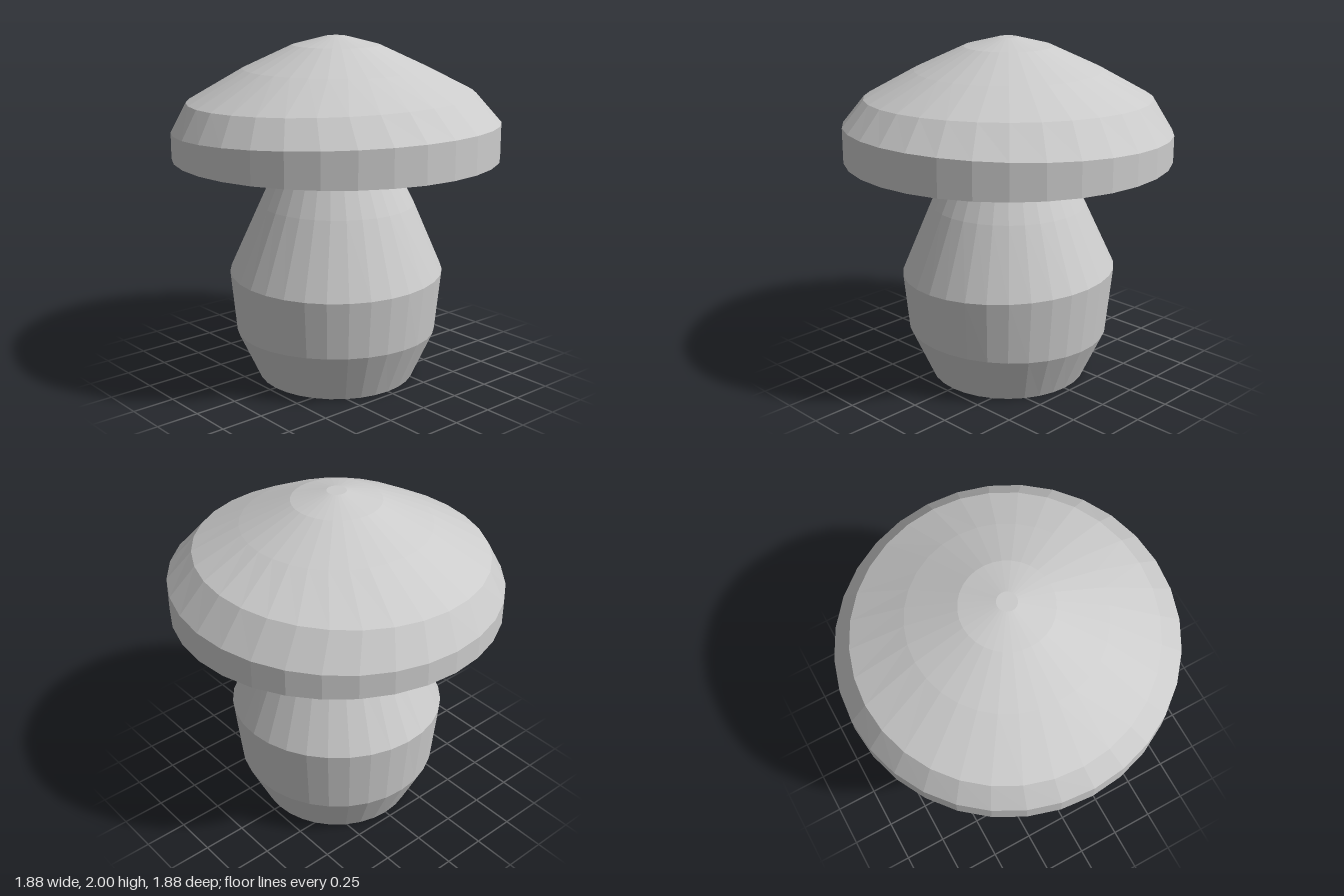
import * as THREE from 'three';

const SIDES = 32;

// Faceted turned part. Each ring is [radius, y, tiltX, tiltZ, shiftX, shiftZ]:
// tilt is the rise at the ring's +x / +z edge, shift moves its centre.
function turned(name, rings) {
  const profile = rings.map(([r, y]) => new THREE.Vector2(r, y));
  const lathe = new THREE.LatheGeometry(profile, SIDES);
  const pos = lathe.attributes.position;
  for (let i = 0; i < pos.count; i++) {
    const [r, y, tiltX = 0, tiltZ = 0, shiftX = 0, shiftZ = 0] = rings[i % rings.length];
    if (r === 0) continue;
    const x = pos.getX(i), z = pos.getZ(i);
    pos.setXYZ(i, x + shiftX, y + (tiltX * x + tiltZ * z) / r, z + shiftZ);
  }
  const geometry = lathe.toNonIndexed();
  geometry.computeVertexNormals();
  const material = new THREE.MeshStandardMaterial({ color: 0xcccccc, flatShading: true });
  const mesh = new THREE.Mesh(geometry, material);
  mesh.name = name;
  return mesh;
}

export function createModel() {
  const model = new THREE.Group();
  model.name = 'mushroom';

  // Bulging stem, with a closed foot
  model.add(turned('stem', [
    [0, 0],
    [0.46, 0],
    [0.587, 0.278, 0.013, 0.008, 0.003, 0.004],
    [0.624, 0.645, -0.015, -0.017],
    [0.45, 1.04, 0, 0, 0.004, -0.004],
    [0.35, 1.245],
  ]));

  // Wide cap: shallow underside, upright rim, slightly lopsided dome
  model.add(turned('cap', [
    [0, 1.245],
    [0.35, 1.245],
    [0.94, 1.32],
    [0.94, 1.492, 0.038, -0.004],
    [0.822, 1.66, 0.02, -0.018, -0.022, 0.02],
    [0.53, 1.82],
    [0.25, 1.95],
    [0.055, 2],
    [0, 2],
  ]));

  return model;
}
